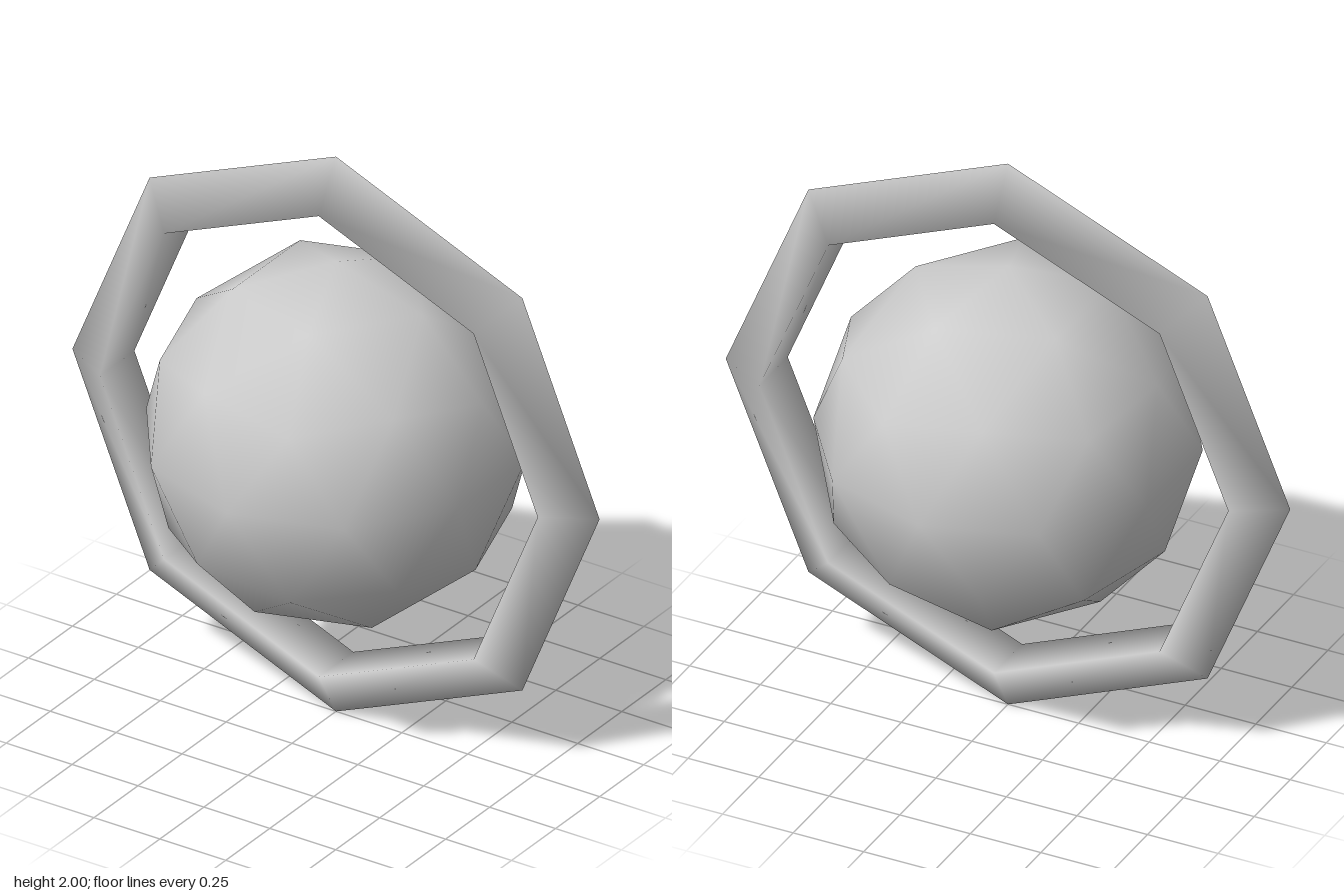
import * as THREE from 'three';

export function createModel() {
  const model = new THREE.Group();
  const material = new THREE.MeshStandardMaterial({ color: 0xcccccc });

  function addPart(name, geometry) {
    const mesh = new THREE.Mesh(geometry, material);
    mesh.name = name;
    mesh.position.y = 1;
    model.add(mesh);
  }

  // Core: smooth icosphere, turned so one corner points straight up
  const core = new THREE.IcosahedronGeometry(0.622, 1);
  core.rotateZ(-Math.atan2(1, (1 + Math.sqrt(5)) / 2));
  addPart('core', core);

  // Ring: eight-sided, triangular section with its ridge outwards
  const tube = 0.113;
  addPart('ring', new THREE.TorusGeometry(1 - tube, tube, 3, 8));

  return model;
}
